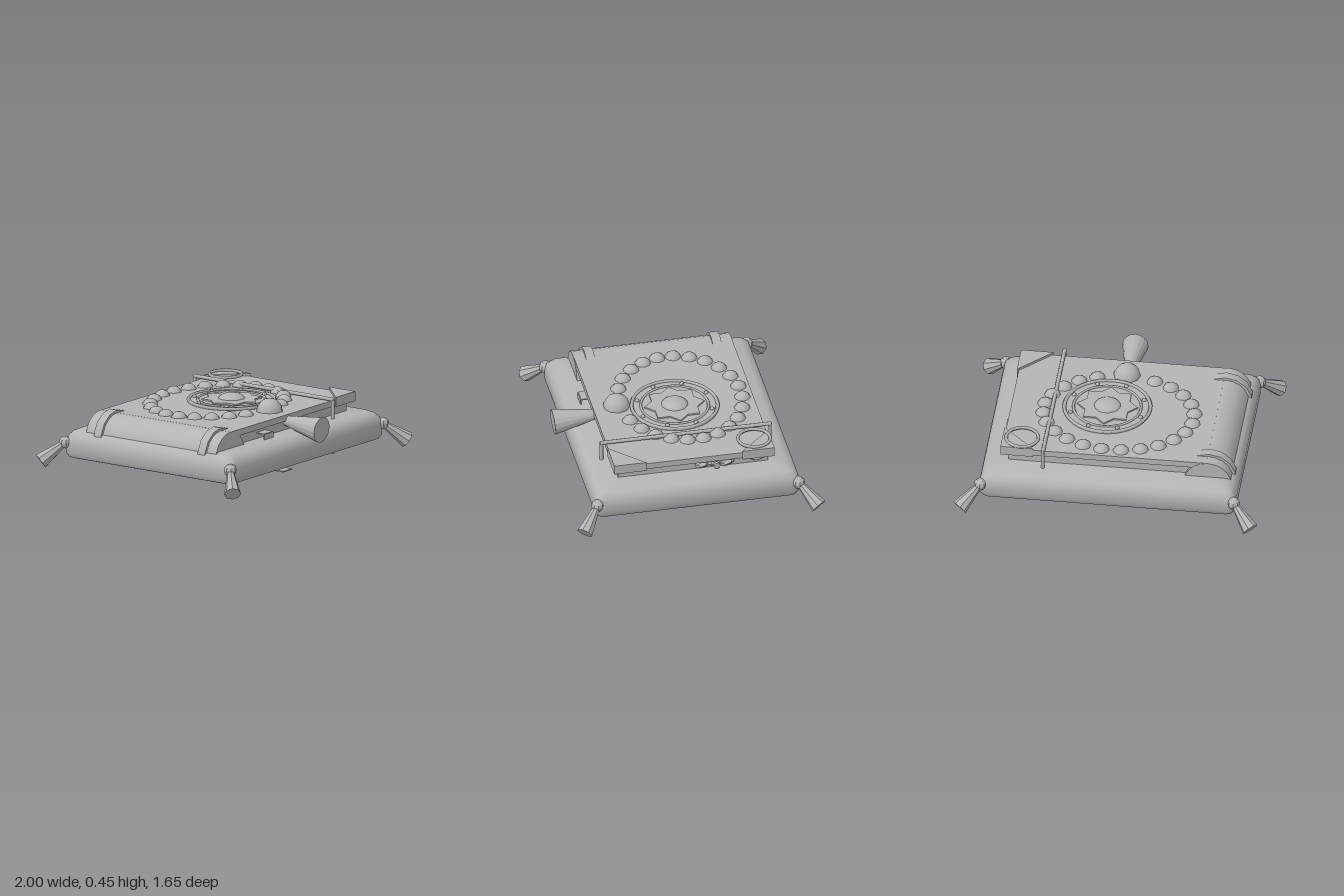
import * as THREE from 'three';
import { toCreasedNormals } from 'three/addons/utils/BufferGeometryUtils.js';

const grey = new THREE.MeshStandardMaterial({ color: 0xb4b4b4 });
grey.name = 'plain grey';

const MID = 0.21; // mid height of the book

function add(parent, name, geometry, x = 0, y = 0, z = 0) {
  const mesh = new THREE.Mesh(geometry, grey);
  mesh.name = name;
  mesh.position.set(x, y, z);
  parent.add(mesh);
  return mesh;
}

function faceted(geometry) {
  const g = geometry.toNonIndexed();
  g.computeVertexNormals();
  return g;
}

// Cone frustum running from point a (radius ra) to point b (radius rb)
function frustum(parent, name, a, b, ra, rb, sides) {
  const dir = b.clone().sub(a);
  const mesh = add(parent, name, faceted(new THREE.CylinderGeometry(rb, ra, dir.length(), sides)));
  mesh.position.copy(a).add(b).multiplyScalar(0.5);
  mesh.quaternion.setFromUnitVectors(new THREE.Vector3(0, 1, 0), dir.normalize());
  return mesh;
}

// Cushion: rounded rectangles [y, half width, half depth] stacked upwards
function cushionGeometry() {
  const rings = [[0.06, 0.001, 0.001], [0.06, 0.8, 0.64], [0.07, 0.83, 0.67], [0.1, 0.845, 0.685],
    [0.17, 0.845, 0.685], [0.21, 0.835, 0.675], [0.24, 0.81, 0.65], [0.258, 0.77, 0.61], [0.258, 0.001, 0.001]];
  const per = 20, pos = [], idx = [];
  for (const [y, hx, hz] of rings) {
    const r = Math.min(0.05, hx, hz);
    for (let c = 0; c < 4; c++) {
      const sx = c === 0 || c === 3 ? 1 : -1, sz = c < 2 ? 1 : -1;
      for (let k = 0; k < 5; k++) {
        const a = (c + k / 4) * Math.PI / 2;
        pos.push(sx * (hx - r) + r * Math.cos(a), y, sz * (hz - r) + r * Math.sin(a));
      }
    }
  }
  for (let j = 0; j < rings.length - 1; j++) {
    for (let i = 0; i < per; i++) {
      const a = j * per + i, b = j * per + (i + 1) % per;
      idx.push(a, a + per, b, b, a + per, b + per);
    }
  }
  const g = new THREE.BufferGeometry();
  g.setAttribute('position', new THREE.Float32BufferAttribute(pos, 3));
  g.setIndex(idx);
  return toCreasedNormals(g, 0.75);
}

// Flat shape (x, -z) extruded upwards from y = 0
function plate(points, height) {
  const shape = new THREE.Shape(points.map(([x, z]) => new THREE.Vector2(x, -z)));
  return new THREE.ExtrudeGeometry(shape, { depth: height, bevelEnabled: false }).rotateX(-Math.PI / 2);
}

function torus(parent, name, radius, tube, x, y, z) {
  add(parent, name, new THREE.TorusGeometry(radius, tube, 6, 40).rotateX(Math.PI / 2), x, y, z);
}

export function createModel() {
  const model = new THREE.Group();
  model.name = 'bookOnCushion';

  add(model, 'cushion', cushionGeometry());

  // Corner knots and tassels
  for (const sx of [-1, 1]) {
    for (const sz of [-1, 1]) {
      const tassel = new THREE.Group();
      tassel.name = 'cornerTassel';
      model.add(tassel);
      const knot = new THREE.Vector3(sx * 0.835, 0.167, sz * 0.672);
      const end = new THREE.Vector3(sx * 0.958, 0.047, sz * 0.782);
      add(tassel, 'tasselKnot', faceted(new THREE.SphereGeometry(0.042, 8, 6)), ...knot);
      frustum(tassel, 'tasselSkirt', knot, end, 0.02, 0.055, 8);
    }
  }

  // Book block and rounded spine with raised bands
  const book = new THREE.Group();
  book.name = 'book';
  model.add(book);
  add(book, 'pages', new THREE.BoxGeometry(1.22, 0.24, 1.0), 0.06, MID, 0);
  const spine = (r, len, sides) => new THREE.CylinderGeometry(r, r, len, sides).rotateX(Math.PI / 2);
  add(book, 'spine', spine(0.157, 1.06, 20), -0.645, MID, 0);
  for (const z of [-0.423, 0.423]) add(book, 'spineBand', spine(0.176, 0.06, 14), -0.645, MID, z);

  // Covers and metal corners, mirrored top and bottom
  for (const s of [1, -1]) {
    add(book, 'cover', new THREE.BoxGeometry(1.345, 0.042, 1.056), 0.0375, MID + s * 0.135, 0);
    for (const sz of [-1, 1]) {
      const tri = [[0.72, sz * 0.32], [0.72, sz * 0.535], [0.505, sz * 0.535]];
      add(book, 'coverCorner', plate(tri, 0.065), 0, s > 0 ? 0.318 : 0.042, 0);
    }
  }

  // Cord looped round the book
  const cord = new THREE.Group();
  cord.name = 'cord';
  model.add(cord);
  for (const s of [-1, 1]) {
    add(cord, 'cordLength', new THREE.CylinderGeometry(0.013, 0.013, 1.14, 8).rotateX(Math.PI / 2), 0.437, MID + s * 0.175, 0);
    add(cord, 'cordSide', new THREE.CylinderGeometry(0.012, 0.012, 0.35, 8), 0.437, MID, s * 0.562);
    for (const t of [-1, 1]) add(cord, 'cordBend', new THREE.SphereGeometry(0.013, 8, 6), 0.437, MID + t * 0.175, s * 0.564);
  }

  // Medallion with rings, eight-pointed star, rivets and centre stone
  const medal = new THREE.Group();
  medal.name = 'medallion';
  medal.position.set(0.083, 0, 0);
  model.add(medal);
  add(medal, 'medallionDisc', new THREE.CylinderGeometry(0.29, 0.29, 0.014, 40), 0, 0.369, 0);
  for (const [r, t] of [[0.282, 0.012], [0.222, 0.009]]) torus(medal, 'medallionRing', r, t, 0, 0.376, 0);
  const star = Array.from({ length: 16 }, (_, i) => {
    const r = i % 2 ? 0.153 : 0.2, a = i * Math.PI / 8;
    return [r * Math.cos(a), r * Math.sin(a)];
  });
  add(medal, 'star', plate(star, 0.012), 0, 0.374, 0);
  for (let i = 0; i < 8; i++) {
    const a = (i + 0.5) * Math.PI / 4;
    add(medal, 'rivet', new THREE.SphereGeometry(0.015, 8, 6), 0.25 * Math.cos(a), 0.377, 0.25 * Math.sin(a));
  }
  add(medal, 'centreStone', new THREE.SphereGeometry(0.09, 20, 12).scale(1, 0.5, 1), 0, 0.375, 0);

  // Bead loop, open at the front where the large bead sits
  const beads = new THREE.Group();
  beads.name = 'beadLoop';
  model.add(beads);
  for (let i = 1; i < 23; i++) {
    const a = (i + 0.5) * Math.PI / 12;
    add(beads, 'bead', new THREE.SphereGeometry(0.057, 10, 8), 0.495 * Math.sin(a), 0.346, -0.055 + 0.405 * Math.cos(a));
  }
  add(beads, 'largeBead', new THREE.SphereGeometry(0.09, 10, 8), 0, 0.36, 0.37);
  frustum(beads, 'beadTassel', new THREE.Vector3(0, 0.325, 0.44), new THREE.Vector3(0, 0.296, 0.795), 0.02, 0.086, 16);

  // Lens ring on the back corner
  torus(model, 'lensRing', 0.106, 0.011, 0.59, 0.389, -0.425);
  add(model, 'lensBoss', new THREE.SphereGeometry(0.06, 12, 8).scale(1, 0.45, 1), 0.65, 0.303, -0.425);

  // Clasp nub and rough fragments at the fore edge
  add(model, 'claspNub', new THREE.CylinderGeometry(0.022, 0.022, 0.02, 10).rotateZ(Math.PI / 2), 0.715, 0.295, -0.15);
  for (const [z, w, tilt] of [[-0.06, 0.05, 0.2], [-0.14, 0.06, -0.35], [-0.23, 0.055, 0.4]]) {
    const chip = add(model, 'fragment', faceted(new THREE.DodecahedronGeometry(1).scale(0.035, 0.024, w)), 0.672, 0.29, z);
    chip.rotation.x = tilt;
  }

  // Ribbon marker hanging from the pages down to the front
  const ribbon = (name, y0, z0, y1, z1) => {
    const m = add(model, name, new THREE.BoxGeometry(0.096, 0.008, Math.hypot(y1 - y0, z1 - z0)), -0.267, (y0 + y1) / 2, (z0 + z1) / 2);
    m.rotation.x = Math.atan2(y0 - y1, z1 - z0);
  };
  ribbon('ribbonTop', 0.295, 0.49, 0.293, 0.56);
  ribbon('ribbonDrop', 0.293, 0.56, 0.066, 0.575);
  ribbon('ribbonEnd', 0.066, 0.575, 0.064, 0.715);

  return model;
}
